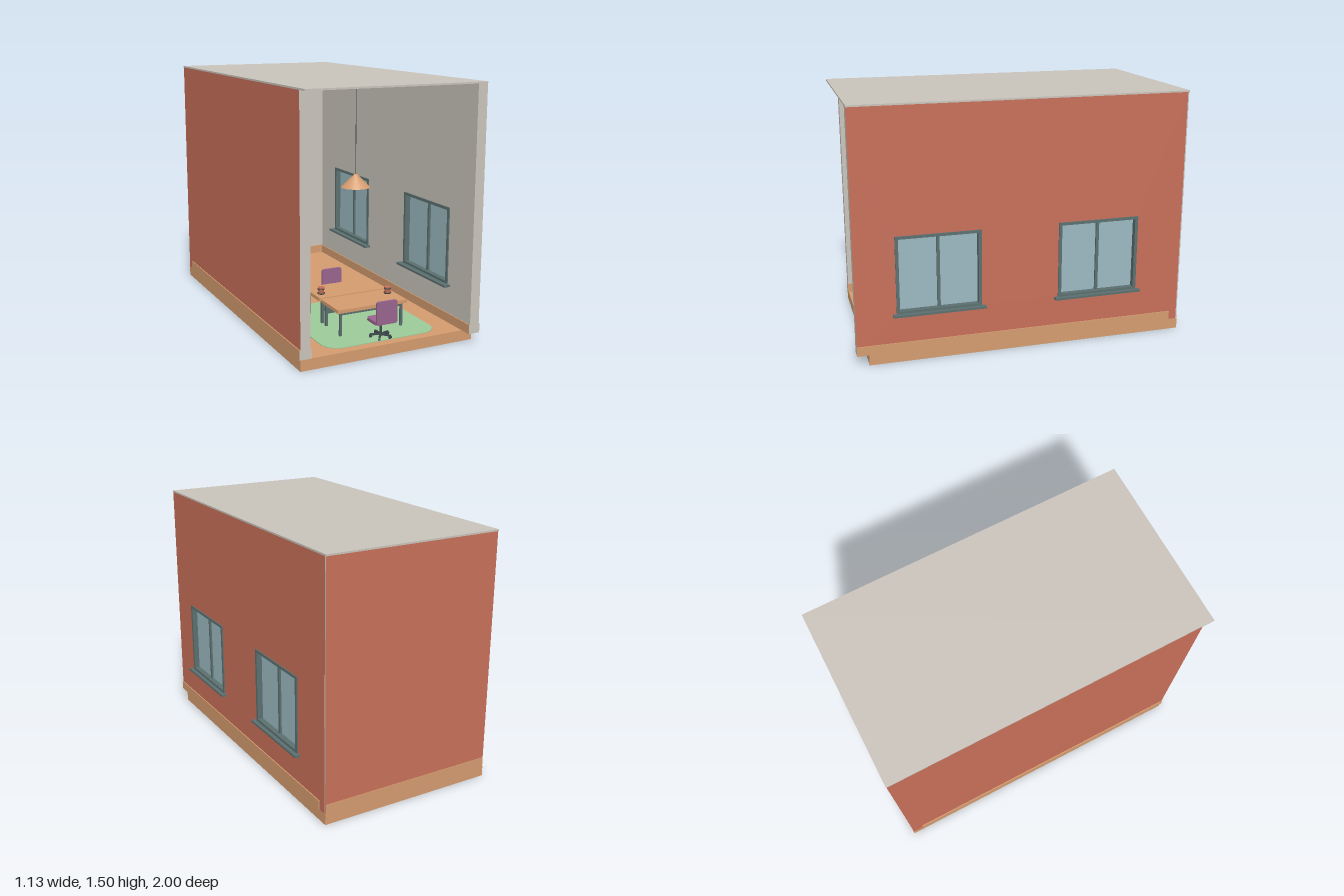
import * as THREE from 'three';

const mat = (name, color) => {
  const m = new THREE.MeshStandardMaterial({ color });
  m.name = name;
  return m;
};

export function createModel() {
  const model = new THREE.Group();
  model.name = 'officeRoom';
  const brick = mat('terracotta', 0xc8705a);
  const plaster = mat('warm grey plaster', 0xcac4bb);
  const wood = mat('light wood', 0xd49c6f);
  const metal = mat('grey green metal', 0x5c7070);
  const glass = mat('pale blue glass', 0x9cbac2);
  const purple = mat('purple fabric', 0x99658f);
  const green = mat('green rug', 0x9ccb9a);
  const dark = mat('dark metal', 0x3c4a4c);

  const add = (parent, name, geo, material, x = 0, y = 0, z = 0) => {
    const m = new THREE.Mesh(geo, material);
    m.name = name;
    m.position.set(x, y, z);
    parent.add(m);
    return m;
  };
  // Box given by its limits on each axis
  const span = (parent, name, material, x0, x1, y0, y1, z0, z1) =>
    add(parent, name, new THREE.BoxGeometry(x1 - x0, y1 - y0, z1 - z0), material,
      (x0 + x1) / 2, (y0 + y1) / 2, (z0 + z1) / 2);
  const rect = (T, x0, x1, y0, y1) => new T([[x0, y0], [x1, y0], [x1, y1], [x0, y1]]
    .map(([x, y]) => new THREE.Vector2(x, y)));
  const roundRect = (w, d, r) => {
    const s = new THREE.Shape();
    const x = w / 2 - r, y = d / 2 - r;
    s.absarc(x, y, r, 0, Math.PI / 2);
    s.absarc(-x, y, r, Math.PI / 2, Math.PI);
    s.absarc(-x, -y, r, Math.PI, Math.PI * 1.5);
    s.absarc(x, -y, r, Math.PI * 1.5, Math.PI * 2);
    s.closePath();
    return s;
  };
  // Shape in (-z, y) extruded along +x
  const sideways = (shape, depth) =>
    new THREE.ExtrudeGeometry(shape, { depth, bevelEnabled: false }).rotateY(Math.PI / 2);
  // Shape on the ground extruded upwards
  const upwards = (shape, depth) =>
    new THREE.ExtrudeGeometry(shape, { depth, bevelEnabled: false, curveSegments: 8 }).rotateX(-Math.PI / 2);

  // Floor slab and roof
  const F = 0.065;
  span(model, 'floorSlab', [wood, wood, wood, plaster, wood, wood], -0.56, 0.53, 0, F, -1, 0.93);
  span(model, 'roof', plaster, -0.562, 0.532, 1.49, 1.5, -1, 1);

  // Left and back walls, painted outside and plastered inside
  span(model, 'leftWall', [plaster, brick, plaster, plaster, plaster, brick], -0.56, -0.5, F, 1.49, -0.95, 0.93);
  span(model, 'backWall', [plaster, brick, plaster, plaster, plaster, brick], -0.56, 0.529, F, 1.49, -0.997, -0.93);

  // Right wall with two window openings
  const windows = [0.515, -0.453];
  const wallShape = rect(THREE.Shape, -1, 0.99, F, 1.49);
  for (const z of windows) wallShape.holes.push(rect(THREE.Path, -z - 0.24, -z + 0.24, 0.3, 0.75));
  add(model, 'rightWallInside', sideways(wallShape, 0.05), plaster, 0.47);
  add(model, 'rightWallOutside', sideways(wallShape, 0.01), [brick, plaster], 0.52);

  // Skirting boards wrapping both faces of each wall
  const skirt = [wood, wood, wood, wood, plaster, wood];
  span(model, 'leftSkirting', skirt, -0.566, -0.494, F, 0.12, -0.93, 0.932);
  span(model, 'rightSkirting', skirt, 0.464, 0.536, F, 0.12, -0.94, 1);
  span(model, 'backSkirting', wood, -0.558, 0.525, F, 0.12, -1, -0.924);

  // Windows
  for (const z of windows) {
    const win = new THREE.Group();
    win.name = 'window';
    win.position.z = z;
    model.add(win);
    const ring = rect(THREE.Shape, -0.25, 0.25, 0.295, 0.757);
    ring.holes.push(rect(THREE.Path, -0.231, 0.231, 0.312, 0.74));
    add(win, 'windowFrame', sideways(ring, 0.074), metal, 0.463);
    span(win, 'mullion', metal, 0.485, 0.515, 0.31, 0.742, -0.009, 0.009);
    span(win, 'glassPane', glass, 0.497, 0.503, 0.31, 0.742, -0.233, 0.233);
    span(win, 'windowSill', metal, 0.43, 0.561, 0.284, 0.297, -0.272, 0.272);
  }

  // Rug
  add(model, 'rug', upwards(roundRect(0.71, 0.74, 0.1), 0.004), green, -0.015, F, 0.506);

  // Pendant lamp
  const lamp = new THREE.Group();
  lamp.name = 'pendantLamp';
  lamp.position.set(-0.015, 0, 0.51);
  model.add(lamp);
  add(lamp, 'cord', new THREE.CylinderGeometry(0.002, 0.002, 0.54, 8), dark, 0, 1.22, 0);
  const shade = mat('lamp shade wood', 0xd49c6f);
  shade.side = THREE.DoubleSide;
  add(lamp, 'lampShade', new THREE.CylinderGeometry(0.006, 0.085, 0.078, 32, 1, true), shade, 0, 0.915, 0);
  add(lamp, 'bulb', new THREE.SphereGeometry(0.024, 16, 12), metal, 0, 0.891, 0);

  // Office chair facing -z
  const makeChair = () => {
    const c = new THREE.Group();
    c.name = 'officeChair';
    add(c, 'chairSeat', upwards(roundRect(0.125, 0.12, 0.02), 0.018), purple, 0, 0.163, 0);
    add(c, 'seatPlate', new THREE.BoxGeometry(0.06, 0.008, 0.06), dark, 0, 0.159, 0);
    const back = new THREE.ExtrudeGeometry(roundRect(0.13, 0.135, 0.012), { depth: 0.014, bevelEnabled: false });
    add(c, 'chairBack', back, purple, 0, 0.235, 0.057);
    add(c, 'chairPost', new THREE.CylinderGeometry(0.008, 0.008, 0.08, 12), dark, 0, 0.12, 0);
    for (let i = 0; i < 5; i++) {
      const arm = new THREE.Group();
      arm.name = 'chairFoot';
      arm.rotation.y = (i * Math.PI * 2) / 5 + Math.PI / 2;
      c.add(arm);
      add(arm, 'footBar', new THREE.BoxGeometry(0.062, 0.009, 0.011), dark, 0.031, 0.087, 0);
      add(arm, 'caster', new THREE.CylinderGeometry(0.009, 0.009, 0.012, 12).rotateX(Math.PI / 2), dark, 0.058, 0.078, 0);
    }
    return c;
  };

  // Two desks face to face, each with a chair
  for (const [side, chairZ] of [[1, 0.32], [-1, 0.24]]) {
    const station = new THREE.Group();
    station.name = 'workstation';
    station.position.set(-0.015, 0, 0.506);
    station.rotation.y = side > 0 ? 0 : Math.PI;
    model.add(station);
    add(station, 'deskTop', upwards(roundRect(0.45, 0.225, 0.012), 0.02), wood, 0, 0.21, 0.119);
    for (const x of [-0.198, 0.198]) {
      span(station, 'deskRail', metal, x - 0.007, x + 0.007, 0.196, 0.21, 0.02, 0.215);
      for (const z of [0.027, 0.208]) {
        span(station, 'deskLeg', metal, x - 0.007, x + 0.007, F, 0.2, z - 0.007, z + 0.007);
      }
    }
    span(station, 'modestyPanel', metal, -0.192, 0.192, 0.143, 0.21, 0.022, 0.03);
    span(station, 'deskBeam', metal, -0.192, 0.192, 0.186, 0.21, 0.19, 0.2);

    // Mug on a saucer
    add(station, 'saucer', new THREE.CylinderGeometry(0.024, 0.02, 0.006, 20), dark, 0.18, 0.233, 0.08);
    add(station, 'mug', new THREE.CylinderGeometry(0.02, 0.016, 0.036, 20), brick, 0.18, 0.253, 0.08);
    add(station, 'mugRim', new THREE.CylinderGeometry(0.021, 0.021, 0.005, 20), dark, 0.18, 0.261, 0.08);

    const chair = makeChair();
    chair.position.z = chairZ;
    station.add(chair);
  }
  return model;
}
